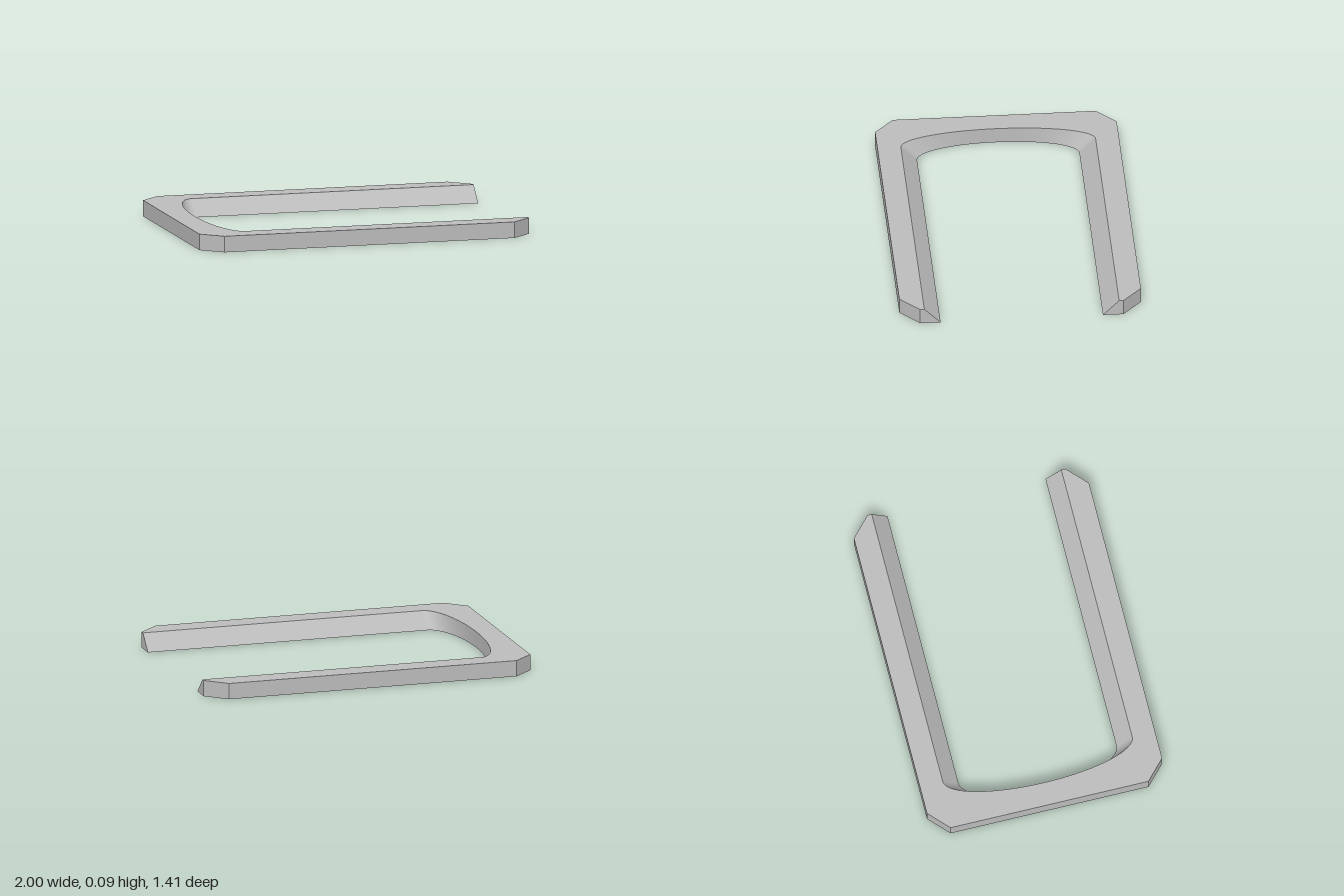
import * as THREE from 'three';

const HEIGHT = 0.095, ARC_X = -0.71, ARC_DEPTH = 0.15, SEGMENTS = 48;

// Opening edge: front arm, half-elliptical end, back arm, as (x, z)
function openingEdge(halfWidth) {
  const pts = [new THREE.Vector2(1, halfWidth)];
  for (let i = 0; i <= SEGMENTS; i++) {
    const a = (Math.PI * i) / SEGMENTS;
    pts.push(new THREE.Vector2(ARC_X - ARC_DEPTH * Math.sin(a), halfWidth * Math.cos(a)));
  }
  pts.push(new THREE.Vector2(1, -halfWidth));
  return pts;
}

// Wall between a lower and an upper path
function wall(lower, upper, smooth) {
  const pos = [], index = [];
  lower.forEach((p, i) => pos.push(p.x, 0, p.y, upper[i].x, HEIGHT, upper[i].y));
  for (let i = 0; i < lower.length - 1; i++) {
    const b = 2 * i;
    index.push(b, b + 2, b + 1, b + 2, b + 3, b + 1);
  }
  let geo = new THREE.BufferGeometry();
  geo.setAttribute('position', new THREE.Float32BufferAttribute(pos, 3));
  geo.setIndex(index);
  if (!smooth) geo = geo.toNonIndexed();
  geo.computeVertexNormals();
  return geo;
}

export function createModel() {
  const group = new THREE.Group();
  group.name = 'bracket';
  const grey = new THREE.MeshStandardMaterial({ color: 0xbbbbbb });
  grey.name = 'plain grey';
  const add = (name, geo) => {
    const mesh = new THREE.Mesh(geo, grey);
    mesh.name = name;
    group.add(mesh);
  };

  // Chamfered outer outline, continuing from the back arm tip to the front arm tip
  const outer = [
    [1, -0.595], [0.88, -0.707], [-0.88, -0.707], [-1, -0.595],
    [-1, 0.595], [-0.88, 0.707], [0.88, 0.707], [1, 0.595],
  ].map(([x, z]) => new THREE.Vector2(x, z));
  const lower = openingEdge(0.475), upper = openingEdge(0.57);

  // Flat faces (the outline is symmetric in z)
  const top = new THREE.ShapeGeometry(new THREE.Shape([...upper, ...outer]));
  add('topFace', top.rotateX(-Math.PI / 2).translate(0, HEIGHT, 0));
  const bottom = new THREE.ShapeGeometry(new THREE.Shape([...lower, ...outer]));
  add('bottomFace', bottom.rotateX(Math.PI / 2));

  // Sloping opening and faceted outer rim with the arm ends
  add('openingWall', wall(lower, upper, true));
  const rim = (edge) => [edge[edge.length - 1], ...outer, edge[0]];
  add('outerRim', wall(rim(lower), rim(upper), false));

  return group;
}
